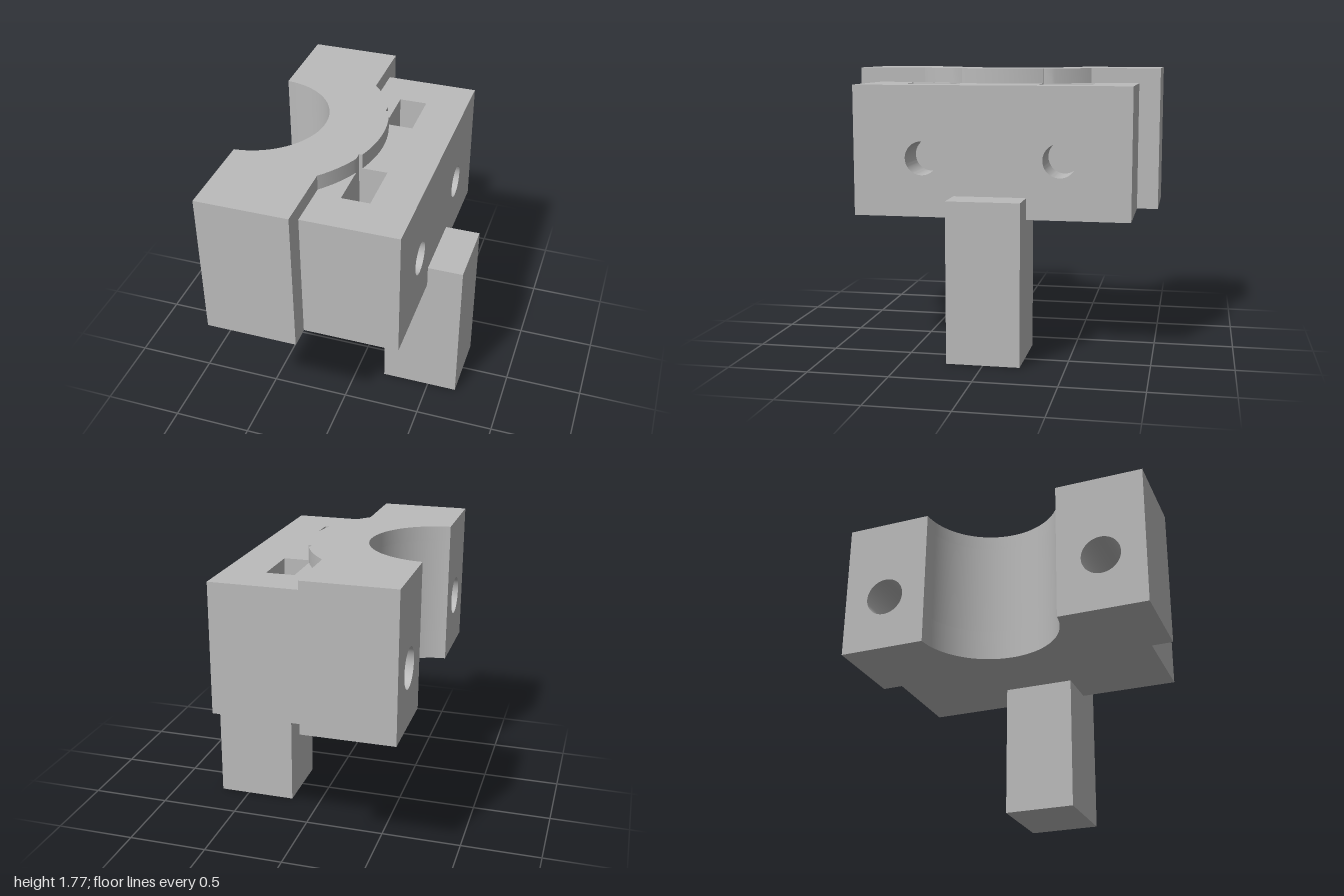
import * as THREE from 'three';
import { toCreasedNormals } from 'three/addons/utils/BufferGeometryUtils.js';

const BOTTOM = 0.865, BLOCK_TOP = 1.68, JAW_TOP = 1.775, SLOT_FLOOR = 1.06;
const BACK = -0.69, STEP = -0.125, FRONT = 0.465;
const SLOT = { x0: 0.03, x1: 0.205, z0: 0.265, z1: 0.595 };
const HOLE_Y = 1.23, DRILL_END = -0.29;
const CENTRE = -0.716, BORE = 0.441, BULGE = 0.811;

// points [x, z] on a circle around the clamp axis
function arc(radius, a0, a1, n) {
  return Array.from({ length: n + 1 }, (_, i) => {
    const a = a0 + (a1 - a0) * i / n;
    return [CENTRE + radius * Math.cos(a), radius * Math.sin(a)];
  });
}

// extrude an [x, z] half outline, mirrored over z = 0, between two heights
function layer(half, y0, y1) {
  const mirrored = half.filter(p => Math.abs(p[1]) > 1e-6).reverse().map(([x, z]) => [x, -z]);
  const shape = new THREE.Shape([...half, ...mirrored].map(p => new THREE.Vector2(p[0], p[1])));
  const geo = new THREE.ExtrudeGeometry(shape, { depth: y1 - y0, bevelEnabled: false });
  geo.rotateX(Math.PI / 2).translate(0, y1, 0);
  return toCreasedNormals(geo, 0.5);
}

// slab extruded along x with round holes through it
function drilledSlab(x0, x1, z0, z1, top, holes, radius) {
  const shape = new THREE.Shape([[-z1, BOTTOM], [-z0, BOTTOM], [-z0, top], [-z1, top]]
    .map(p => new THREE.Vector2(p[0], p[1])));
  for (const z of holes) {
    shape.holes.push(new THREE.Path().absarc(-z, HOLE_Y, radius, 0, Math.PI * 2, true));
  }
  const geo = new THREE.ExtrudeGeometry(shape, { depth: x1 - x0, bevelEnabled: false, curveSegments: 32 });
  geo.rotateY(Math.PI / 2).translate(x0, 0, 0);
  return toCreasedNormals(geo, 0.5);
}

export function createModel() {
  const group = new THREE.Group();
  const grey = new THREE.MeshStandardMaterial({ color: 0xbbbbbb });
  grey.name = 'plainGrey';
  const add = (name, geo) => {
    const mesh = new THREE.Mesh(geo, grey);
    mesh.name = name;
    group.add(mesh);
  };

  // half outline shared by all layers: the bore, then around the drilled ear
  const rear = [
    ...arc(BORE, 0, Math.acos((BACK - CENTRE) / BORE), 32),
    [DRILL_END, 0.44], [DRILL_END, 1], [STEP, 1],
  ];

  // solid base below the nut slots
  add('clampBase', layer([...rear, [STEP, 0.865], [SLOT.x1, 0.865], [SLOT.x1, 0]], BOTTOM, SLOT_FLOOR));

  // middle with the nut slots
  const { x0, x1, z0, z1 } = SLOT;
  add('clampMiddle', layer([...rear, [STEP, 0.865], [x1, 0.865],
    [x1, z1], [x0, z1], [x0, z0], [x1, z0], [x1, 0]], SLOT_FLOOR, BLOCK_TOP));

  // raised top with the round bulge, clipped by the slots
  const atX = x => Math.acos((x - CENTRE) / BULGE);
  add('raisedTop', layer([...rear,
    ...arc(BULGE, atX(STEP), atX(x0), 12), [x0, z0],
    ...arc(BULGE, Math.asin(z0 / BULGE), 0, 12)], BLOCK_TOP, JAW_TOP));

  // ears with blind bolt holes
  for (const side of [1, -1]) {
    const [a, b] = side > 0 ? [0.44, 1] : [-1, -0.44];
    add(side > 0 ? 'frontEar' : 'backEar',
      drilledSlab(BACK, DRILL_END, a, b, JAW_TOP, [side * 0.72], 0.125));
  }

  // mounting face with two screw holes leading into the slots
  add('mountingFace', drilledSlab(x1, FRONT, -0.865, 0.865, BLOCK_TOP, [0.43, -0.43], 0.105));

  // hanging arm, its outer part rising in front of the mounting face
  add('arm', new THREE.BoxGeometry(0.275, BOTTOM, 0.454).translate(0.3275, BOTTOM / 2, 0));
  add('armFront', new THREE.BoxGeometry(0.225, 1, 0.454).translate(0.5775, 0.5, 0));

  return group;
}
